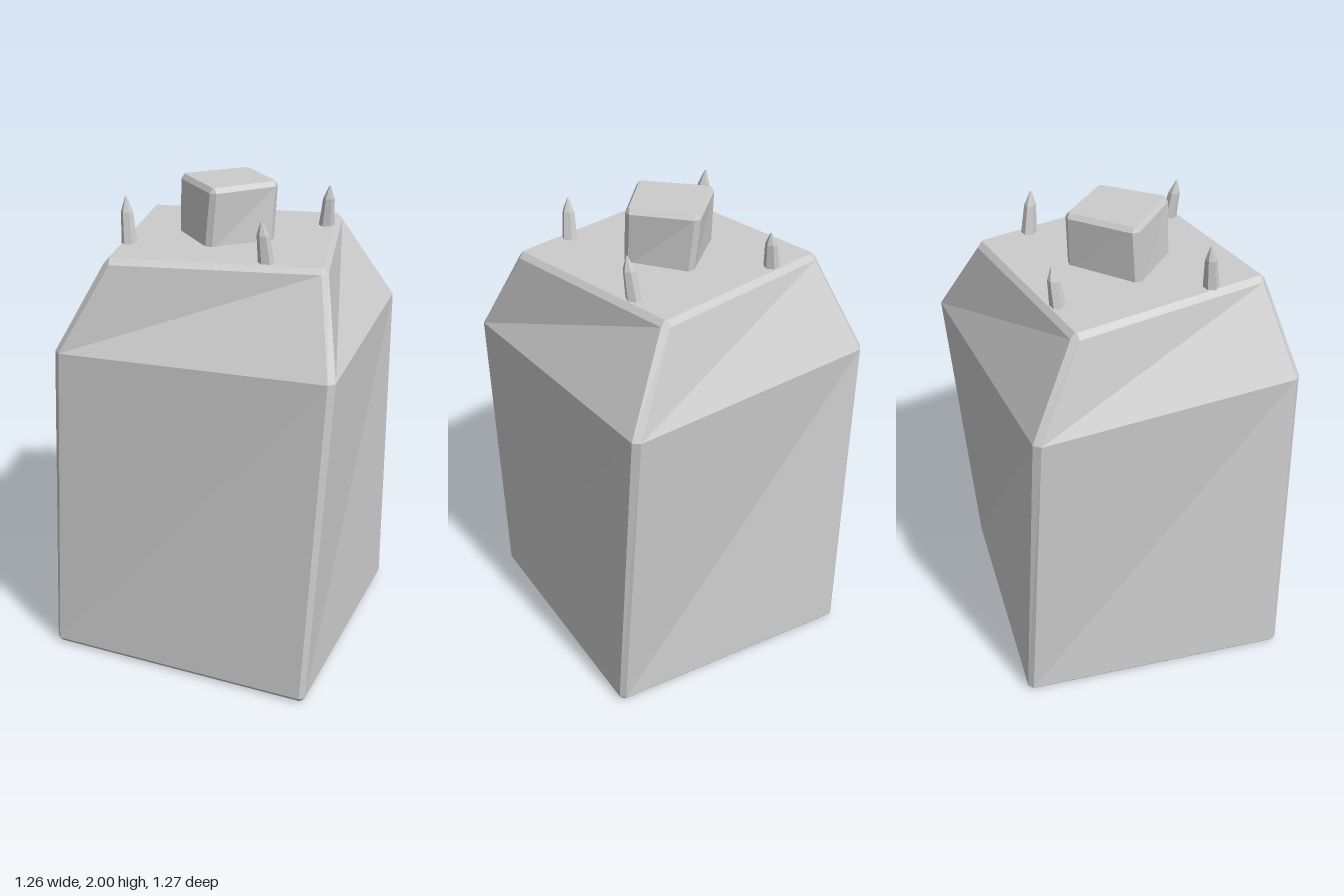
import * as THREE from 'three';

const material = new THREE.MeshStandardMaterial({ color: 0xcccccc, flatShading: true });

// Horizontal ring from four [x, z] corners (front left, front right, back right, back left
// as drawn from above), each corner cut by a small chamfer; inset pulls it inwards.
function chamferedRing(corners, y, chamfer, inset = 0) {
  const pts = corners.map(([x, z]) => new THREE.Vector3(x, y, z));
  const centre = pts.reduce((s, p) => s.add(p), new THREE.Vector3()).divideScalar(4);
  const size = pts[0].distanceTo(centre) / Math.SQRT2;
  pts.forEach(p => p.lerp(centre, inset / size));
  return pts.flatMap((p, i) => [pts[(i + 3) % 4], pts[(i + 1) % 4]].map(q =>
    p.clone().add(q.clone().sub(p).setLength(chamfer))));
}

// Faceted skin through equal-length rings, closed at both ends.
function loft(name, rings) {
  const out = [];
  const tri = (...ps) => ps.forEach(p => out.push(p.x, p.y, p.z));
  const n = rings[0].length;
  for (let r = 0; r < rings.length - 1; r++) {
    const lo = rings[r], hi = rings[r + 1];
    for (let i = 0; i < n; i++) {
      const j = (i + 1) % n;
      tri(lo[i], lo[j], hi[j]);
      tri(lo[i], hi[j], hi[i]);
    }
  }
  const first = rings[0], last = rings[rings.length - 1];
  for (let i = 1; i < n - 1; i++) {
    tri(first[0], first[i + 1], first[i]);
    tri(last[0], last[i], last[i + 1]);
  }
  const geometry = new THREE.BufferGeometry();
  geometry.setAttribute('position', new THREE.Float32BufferAttribute(out, 3));
  geometry.computeVertexNormals();
  const mesh = new THREE.Mesh(geometry, material);
  mesh.name = name;
  return mesh;
}

// Leaning six-sided spike
function spike(name, [x, z], [tipX, tipY, tipZ]) {
  const base = new THREE.Vector3(x, 1.755, z);
  const tip = new THREE.Vector3(tipX, tipY, tipZ);
  const rings = [[0, 0.033], [0.7, 0.024], [1, 0.003]].map(([t, radius]) => {
    const c = base.clone().lerp(tip, t);
    return Array.from({ length: 6 }, (_, i) => {
      const a = i * Math.PI / 3 + 0.3;
      return new THREE.Vector3(c.x + radius * Math.cos(a), c.y, c.z - radius * Math.sin(a));
    });
  });
  return loft(name, rings);
}

export function createModel() {
  const group = new THREE.Group();
  group.name = 'twistedBlock';

  // Twisted body with sloping shoulders and bevelled edges
  const foot = [[-0.585, 0.6], [0.575, 0.587], [0.548, -0.538], [-0.557, -0.548]];
  const shoulder = [[-0.49, 0.632], [0.633, 0.51], [0.512, -0.639], [-0.636, -0.488]];
  const rim = [[-0.305, 0.537], [0.53, 0.32], [0.305, -0.498], [-0.515, -0.302]];
  group.add(loft('body', [
    chamferedRing(foot, 0, 0.006, 0.018),
    chamferedRing(foot, 0.022, 0.02),
    chamferedRing(shoulder, 1.39, 0.025),
    chamferedRing(rim, 1.745, 0.025),
    chamferedRing(rim, 1.768, 0.005, 0.02),
  ]));

  // Small twisted block standing on the top
  const capFoot = [[-0.005, 0.236], [0.2, 0.025], [0.012, -0.195], [-0.222, 0.04]];
  const capRim = [[0.018, 0.235], [0.205, -0.004], [-0.012, -0.205], [-0.222, 0.026]];
  group.add(loft('topBlock', [
    chamferedRing(capFoot, 1.75, 0.02),
    chamferedRing(capRim, 1.98, 0.02),
    chamferedRing(capRim, 2, 0.005, 0.014),
  ]));

  // One spike near each top corner
  group.add(
    spike('frontRightSpike', [-0.315, 0.295], [-0.333, 1.95, 0.28]),
    spike('frontLeftSpike', [0.285, 0.325], [0.273, 1.93, 0.352]),
    spike('backLeftSpike', [0.31, -0.272], [0.328, 1.94, -0.252]),
    spike('backRightSpike', [-0.285, -0.3], [-0.264, 1.92, -0.316]),
  );
  return group;
}
